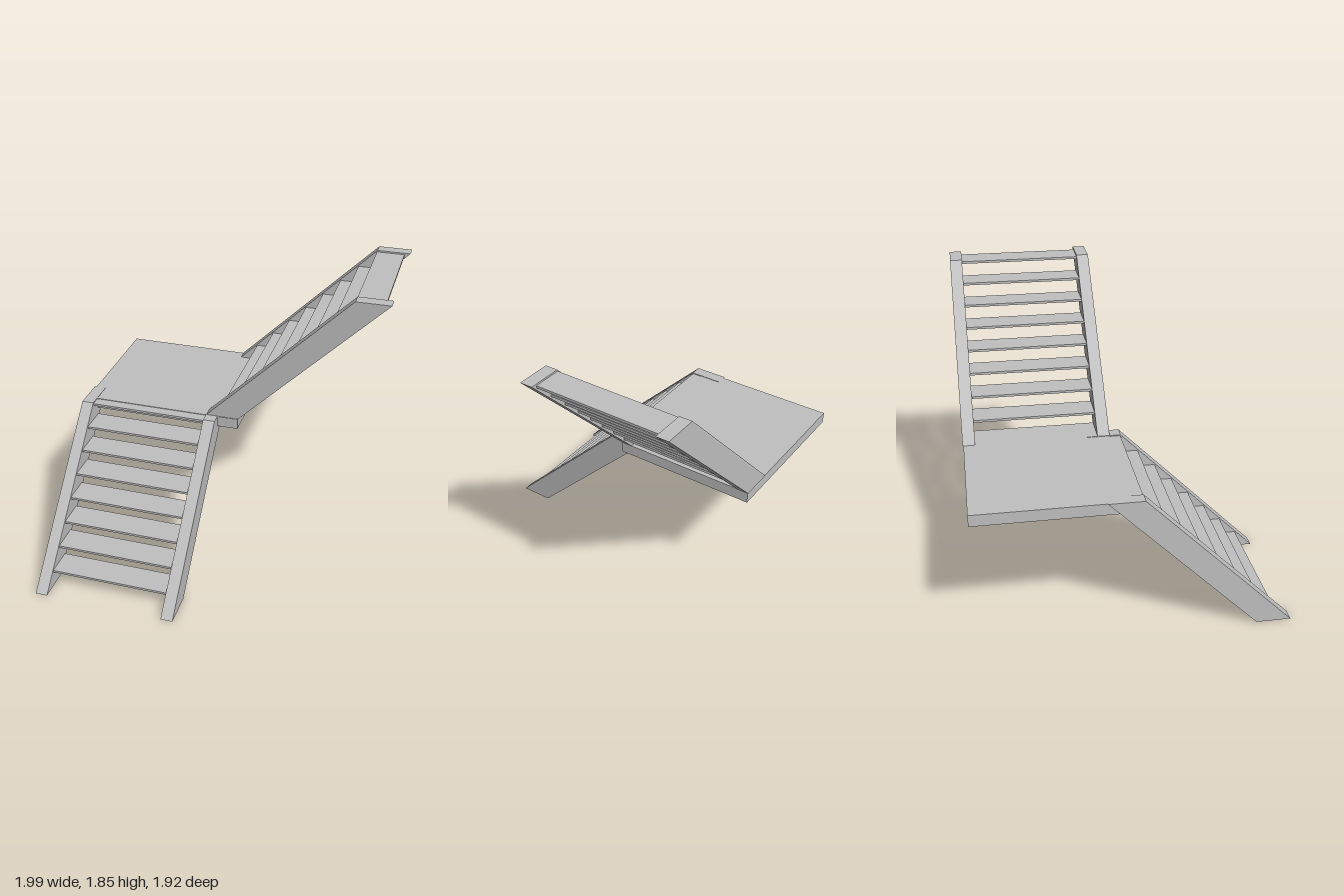
import * as THREE from 'three';

export function createModel() {
  const model = new THREE.Group();
  model.name = 'staircase';
  const grey = new THREE.MeshStandardMaterial({ color: 0xc0c0c0 });
  grey.name = 'plain grey';

  // Box given by its minimum and maximum corners
  function box(parent, name, [x0, y0, z0], [x1, y1, z1]) {
    const mesh = new THREE.Mesh(new THREE.BoxGeometry(x1 - x0, y1 - y0, z1 - z0), grey);
    mesh.position.set((x0 + x1) / 2, (y0 + y1) / 2, (z0 + z1) / 2);
    mesh.name = name;
    parent.add(mesh);
  }

  // Flight climbing along +x at 45 degrees from its lower front corner;
  // width runs along z, centred on 0
  const BEAM = 0.078, RUN = 0.216, STEP = 0.1145;
  function flight(name, width, rise, firstX, firstTop) {
    const group = new THREE.Group();
    group.name = name;
    const side = new THREE.Shape([
      new THREE.Vector2(0, 0), new THREE.Vector2(RUN, 0),
      new THREE.Vector2(RUN + rise, rise), new THREE.Vector2(rise, rise),
    ]);
    const geometry = new THREE.ExtrudeGeometry(side, { depth: BEAM, bevelEnabled: false });
    for (const z of [-width / 2, width / 2 - BEAM]) {
      const stringer = new THREE.Mesh(geometry, grey);
      stringer.name = 'stringer';
      stringer.position.z = z;
      group.add(stringer);
    }
    const inner = width / 2 - BEAM;
    for (let i = 0; i < 8; i++) {
      const x = firstX + i * STEP, y = firstTop + i * STEP;
      box(group, 'tread', [x, y - 0.015, -inner], [x + 0.18, y, inner]);
    }
    model.add(group);
    return group;
  }

  // Lower flight climbs towards -z, upper flight towards +x
  const lower = flight('lowerFlight', 0.93, 0.92, 0.12, 0.112);
  lower.rotation.y = Math.PI / 2;
  lower.position.set(-0.535, 0, 0.96);
  const upper = flight('upperFlight', 0.93, 0.925, 0.12, 0.113);
  upper.position.set(-0.147, 0.92, -0.495);

  // Landing: thin deck on a rim frame with one middle joist
  const landing = new THREE.Group();
  landing.name = 'landing';
  const X0 = -0.99, X1 = 0.065, Z0 = -0.955, Z1 = -0.03, LOW = 0.845, DECK = 0.898, T = 0.035;
  box(landing, 'deck', [X0, DECK, Z0], [X1, 0.917, Z1]);
  for (const z of [Z0, Z1 - T]) box(landing, 'rimBeam', [X0, LOW, z], [X1, DECK, z + T]);
  for (const x of [X0, (X0 + X1 - T) / 2, X1 - T])
    box(landing, 'joist', [x, LOW, Z0 + T], [x + T, DECK, Z1 - T]);
  model.add(landing);

  return model;
}
